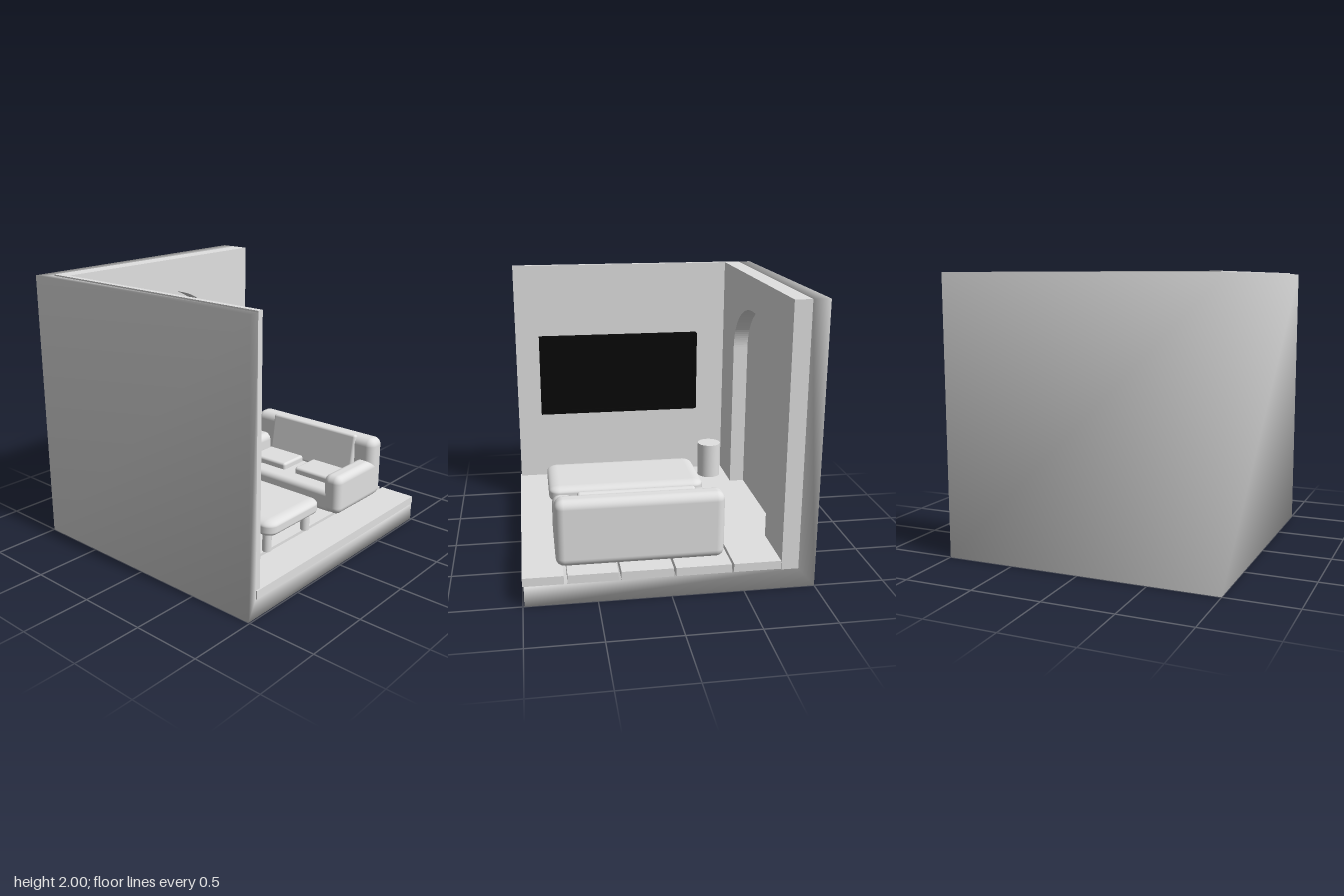
import * as THREE from 'three';
import { RoundedBoxGeometry } from 'three/addons/geometries/RoundedBoxGeometry.js';

export function createModel() {
  const room = new THREE.Group();
  room.name = 'livingRoom';
  const grey = new THREE.MeshStandardMaterial({ color: 0xe0e0e0 });
  grey.name = 'light grey';
  const black = new THREE.MeshStandardMaterial({ color: 0x080808 });
  black.name = 'screen black';

  function add(name, geometry, material = grey, parent = room) {
    const mesh = new THREE.Mesh(geometry, material);
    mesh.name = name;
    parent.add(mesh);
    return mesh;
  }
  // Boxes are given by their limits on each axis
  function place(mesh, x, y, z) {
    mesh.position.set((x[0] + x[1]) / 2, (y[0] + y[1]) / 2, (z[0] + z[1]) / 2);
    return mesh;
  }
  const size = (r) => r[1] - r[0];
  const box = (name, x, y, z, material, parent) =>
    place(add(name, new THREE.BoxGeometry(size(x), size(y), size(z)), material, parent), x, y, z);
  const soft = (name, x, y, z, radius, parent) =>
    place(add(name, new RoundedBoxGeometry(size(x), size(y), size(z), 5, radius), grey, parent), x, y, z);

  // Outer shell: a cube with one corner cut away, smooth across shared corners
  const a = -0.88, b = 0.14, c = 0.93, e = 0.99;
  const corners = [
    [-1, 0, -1], [e, 0, -1], [e, 0, 1], [-1, 0, 1], [-1, 2, -1], [e, 1.99, 1], [-1, 1.99, 1],
    [a, 2, -1], [a, 1.99, c], [e, 1.99, c], [e, b, c], [e, b, -1], [a, b, -1], [a, b, c],
  ];
  const quads = [
    [3, 2, 5, 6], [0, 3, 6, 4], [0, 1, 2, 3], [4, 6, 8, 7], [6, 5, 9, 8], [2, 1, 11, 10],
    [2, 10, 9, 5], [1, 0, 12, 11], [0, 4, 7, 12], [13, 10, 11, 12], [13, 8, 9, 10], [12, 7, 8, 13],
  ];
  const shell = new THREE.BufferGeometry();
  shell.setAttribute('position', new THREE.Float32BufferAttribute(corners.flat(), 3));
  shell.setIndex(quads.flatMap(([p, q, r, s]) => [p, q, r, p, r, s]));
  shell.computeVertexNormals();
  add('outerShell', shell);

  // Side wall lining with an arched niche
  const lining = new THREE.Shape();
  lining.moveTo(-1, b).lineTo(c, b).lineTo(c, 2).lineTo(-1, 2).closePath();
  const arch = new THREE.Path();
  arch.moveTo(-0.58, 0.2).lineTo(0.51, 0.2).lineTo(0.51, 1.36);
  arch.absellipse(-0.035, 1.36, 0.545, 0.39, 0, Math.PI, false);
  arch.closePath();
  lining.holes.push(arch);
  const sideWall = new THREE.ExtrudeGeometry(lining, { depth: 0.12, bevelEnabled: false, curveSegments: 32 });
  sideWall.rotateY(-Math.PI / 2);
  add('archedWall', sideWall).position.x = -0.76;
  box('nicheBack', [a, a + 0.005], [0.2, 1.76], [-0.59, 0.52]);

  // Front wall lining
  box('frontWallLining', [-0.76, e], [b, 2], [0.89, c]);

  // Floor planks
  const planks = [[-0.76, -0.43], [-0.415, -0.03], [-0.015, 0.34], [0.36, 0.7], [0.725, 1]];
  for (const x of planks) box('floorPlank', x, [b, 0.2], [-0.99, c]);

  // Sofa
  const sofa = new THREE.Group();
  sofa.name = 'sofa';
  room.add(sofa);
  soft('sofaBack', [-0.39, 0.77], [0.2, 0.68], [-0.89, -0.73], 0.06, sofa);
  for (const x of [[-0.39, -0.24], [0.62, 0.77]]) soft('armrest', x, [0.2, 0.505], [-0.86, -0.29], 0.055, sofa);
  soft('seat', [-0.32, 0.7], [0.2, 0.37], [-0.84, -0.295], 0.04, sofa);
  for (const x of [[-0.19, 0.15], [0.25, 0.58]]) soft('seatCushion', x, [0.35, 0.42], [-0.68, -0.43], 0.02, sofa);
  const backCushion = soft('backCushion', [-0.2, 0.61], [0.36, 0.69], [-0.75, -0.7], 0.02, sofa);
  backCushion.rotation.x = -0.16;
  backCushion.position.z = -0.728;

  // Low table
  const table = new THREE.Group();
  table.name = 'table';
  room.add(table);
  const top = add('tableTop', new RoundedBoxGeometry(1.19, 0.24, 0.585, 6, 0.08), grey, table);
  top.scale.y = 0.5;
  top.position.set(0.185, 0.38, 0.233);
  for (const x of [-0.33, 0.7]) {
    for (const z of [0.03, 0.465]) {
      add('tableLeg', new THREE.CylinderGeometry(0.033, 0.033, 0.14, 24), grey, table).position.set(x, 0.27, z);
    }
  }

  // Round stool in the corner
  add('roundStool', new THREE.CylinderGeometry(0.095, 0.095, 0.285, 40)).position.set(-0.615, 0.342, 0.71);

  // Wall screen: dark panel with a raised rim
  const screen = new THREE.Group();
  screen.name = 'wallScreen';
  room.add(screen);
  box('screenPanel', [-0.52, 0.8], [0.76, 1.42], [0.84, 0.89], black, screen);
  for (const x of [[-0.52, -0.49], [0.77, 0.8]]) box('screenRimSide', x, [0.76, 1.42], [0.83, 0.84], black, screen);
  for (const y of [[0.76, 0.79], [1.39, 1.42]]) box('screenRimEdge', [-0.49, 0.77], y, [0.83, 0.84], black, screen);

  return room;
}
